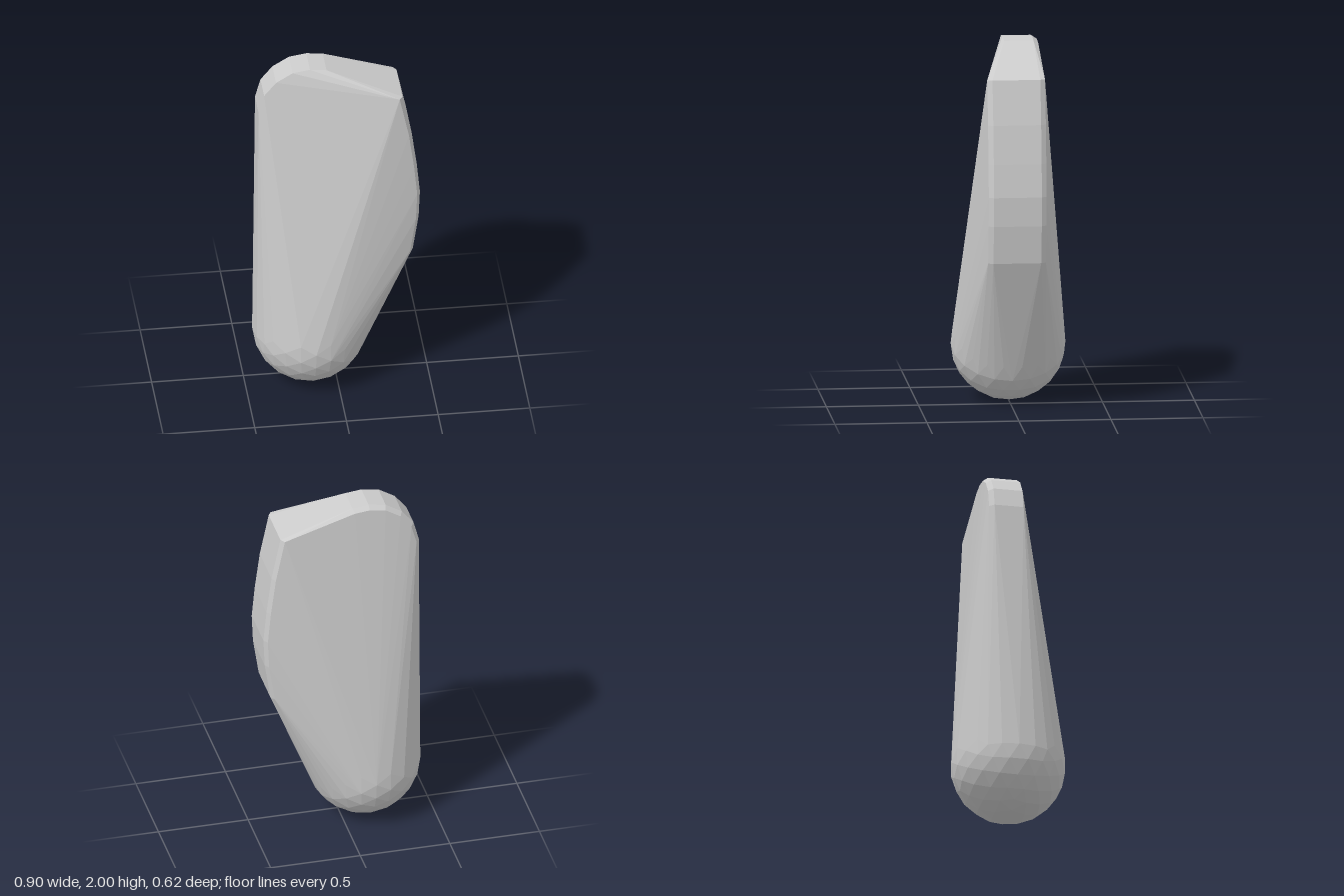
import * as THREE from 'three';
import { ConvexGeometry } from 'three/addons/geometries/ConvexGeometry.js';

export function createModel() {
  const group = new THREE.Group();
  const points = [];
  const add = (x, y, z) => points.push(new THREE.Vector3(x, y, z));

  // Rounded foot: faceted ball
  const ball = new THREE.IcosahedronGeometry(0.312, 3).getAttribute('position');
  const seen = new Set();
  for (let i = 0; i < ball.count; i++) {
    const p = new THREE.Vector3().fromBufferAttribute(ball, i);
    const key = p.toArray().map((v) => Math.round(v * 1000)).join();
    if (seen.has(key)) continue;
    seen.add(key);
    add(p.x - 0.14, p.y + 0.312, p.z);
  }

  // Rounded top shoulder: set back at the front, bevelled at the rear
  const shoulder = [[-0.42, 1.74], [-0.39, 1.85], [-0.325, 1.93], [-0.235, 1.985], [-0.14, 2], [-0.05, 1.99]];
  for (const [x, y] of shoulder) {
    add(x, y, 0.03);
    add(x, y, -0.13);
    add(-0.14 + (x + 0.14) * 0.93, 1.72 + (y - 1.72) * 0.93, -0.157);
  }

  // Curved side edge with a narrow bevel on both faces
  const edge = [[0.352, 1.85], [0.402, 1.61], [0.43, 1.4], [0.447, 1.22], [0.44, 1.06], [0.408, 0.85]];
  for (const [x, y] of edge) {
    for (const s of [-1, 1]) {
      add(x, y, s * 0.13);
      add(x - 0.018, y, s * 0.157);
    }
  }

  // One taut convex skin over foot, shoulder and edge
  const body = new THREE.Mesh(
    new ConvexGeometry(points),
    new THREE.MeshStandardMaterial({ color: 0xcccccc, flatShading: true })
  );
  body.name = 'body';
  group.add(body);
  return group;
}
